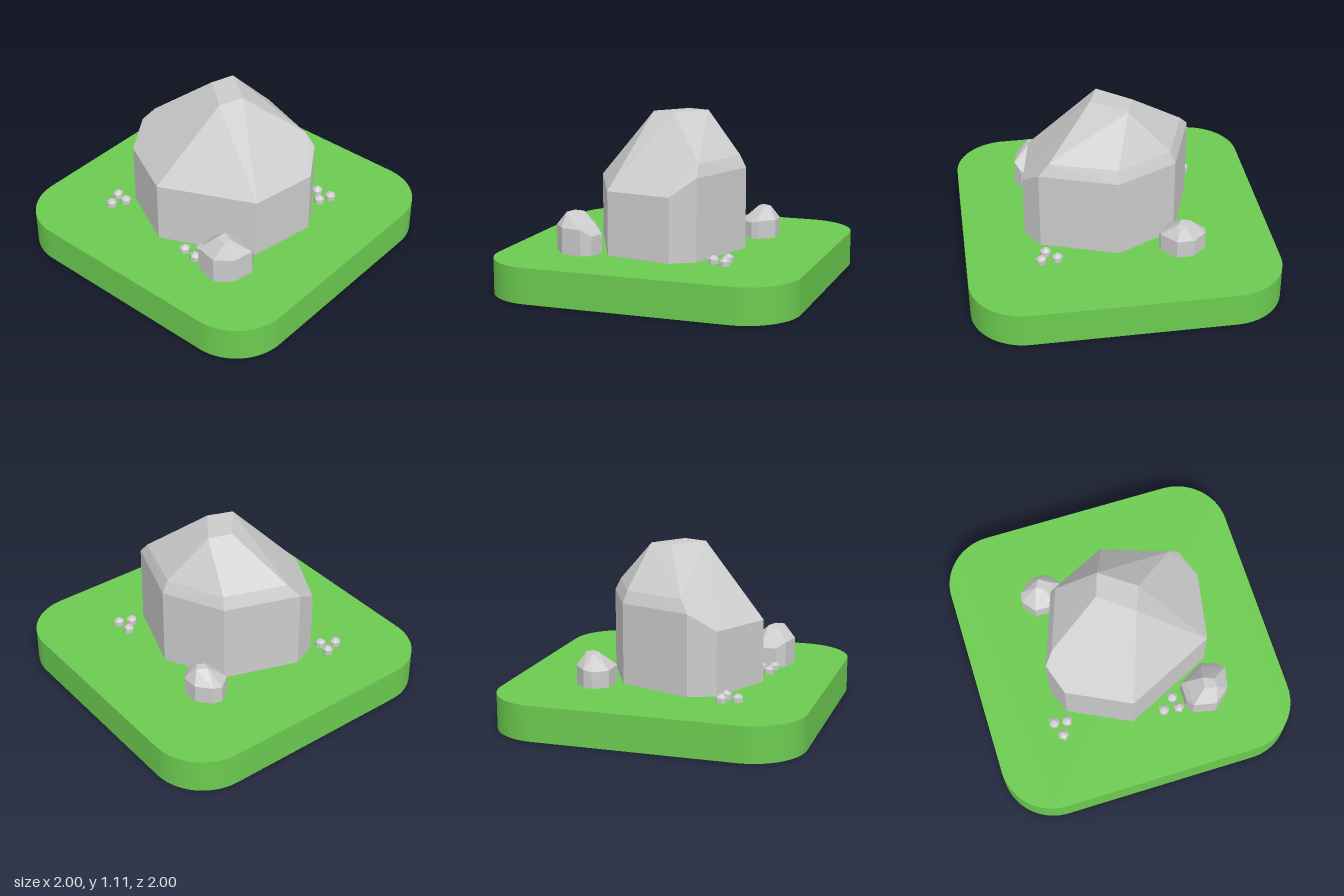
import * as THREE from 'three';
import { ConvexGeometry } from 'three/addons/geometries/ConvexGeometry.js';

const GROUND = 0.23;
const stone = new THREE.MeshStandardMaterial({ color: 0xcccccc, flatShading: true });
const grass = new THREE.MeshStandardMaterial({ color: 0x6ccb50 });

// A faceted boulder: upright walls on an outline of [x, z, wallTop],
// an optional bevel ring of [x, z, y] and a flat crown of [x, z] at height top.
function rockGeometry(outline, bevel, crown, top, bottom = GROUND) {
  const points = [];
  for (const [x, z, y] of outline) {
    points.push(new THREE.Vector3(x, bottom, z), new THREE.Vector3(x, y, z));
  }
  for (const [x, z, y] of bevel) points.push(new THREE.Vector3(x, y, z));
  for (const [x, z] of crown) points.push(new THREE.Vector3(x, top, z));
  return new ConvexGeometry(points);
}

function addMesh(parent, name, geometry, material) {
  const mesh = new THREE.Mesh(geometry, material);
  mesh.name = name;
  parent.add(mesh);
  return mesh;
}

// Square slab with rounded corners
function slabGeometry(half, r, height) {
  const s = new THREE.Shape();
  const c = half - r;
  s.absarc(c, c, r, 0, Math.PI / 2);
  s.absarc(-c, c, r, Math.PI / 2, Math.PI);
  s.absarc(-c, -c, r, Math.PI, Math.PI * 1.5);
  s.absarc(c, -c, r, Math.PI * 1.5, Math.PI * 2);
  s.closePath();
  return new THREE.ExtrudeGeometry(s, { depth: height, bevelEnabled: false, curveSegments: 12 })
    .rotateX(-Math.PI / 2);
}

export function createModel() {
  const model = new THREE.Group();
  model.name = 'rockTile';

  addMesh(model, 'grassBase', slabGeometry(1, 0.35, GROUND), grass);

  // Large central boulder
  addMesh(model, 'largeRock', rockGeometry(
    [[0.02, -0.46, 0.76], [0.51, -0.29, 0.76], [0.6, -0.14, 0.645], [0.52, 0.3, 0.645],
      [-0.07, 0.58, 0.645], [-0.47, 0.38, 0.645], [-0.54, 0.21, 0.76], [-0.37, -0.27, 0.76]],
    [[0.02, -0.42, 0.84], [0.44, -0.28, 0.84], [-0.48, 0.15, 0.84], [-0.34, -0.25, 0.84]],
    [[-0.13, -0.02], [-0.08, -0.17], [0.14, -0.01], [0.08, 0.15]], 1.11), stone);

  // Front boulder
  addMesh(model, 'frontRock', rockGeometry(
    [[0.47, 0.36, 0.355], [0.57, 0.39, 0.355], [0.61, 0.45, 0.4], [0.58, 0.59, 0.4],
      [0.48, 0.67, 0.4], [0.33, 0.64, 0.4], [0.3, 0.58, 0.36], [0.3, 0.46, 0.36]],
    [[0.46, 0.4, 0.4], [0.33, 0.47, 0.4]],
    [[0.43, 0.5], [0.5, 0.53], [0.5, 0.59], [0.42, 0.57]], 0.49), stone);

  // Back boulder
  addMesh(model, 'backRock', rockGeometry(
    [[-0.45, -0.56, 0.35], [-0.34, -0.56, 0.35], [-0.25, -0.46, 0.35], [-0.25, -0.42, 0.34],
      [-0.32, -0.33, 0.34], [-0.48, -0.33, 0.34], [-0.55, -0.42, 0.34], [-0.54, -0.48, 0.35]],
    [[-0.43, -0.54, 0.38], [-0.35, -0.54, 0.38]],
    [[-0.44, -0.45], [-0.4, -0.51], [-0.36, -0.48], [-0.39, -0.43]], 0.435), stone);

  // Pebble clusters, each pebble a turned copy of one little rock
  const pebble = rockGeometry(
    [[-0.015, -0.033, 0.033], [0.018, -0.03, 0.033], [0.034, -0.008, 0.03], [0.03, 0.015, 0.03],
      [0.01, 0.033, 0.03], [-0.02, 0.028, 0.03], [-0.034, 0.01, 0.03], [-0.03, -0.018, 0.033]],
    [], [[-0.012, -0.004], [0.003, -0.014], [0.013, 0.002], [-0.001, 0.012]], 0.05, 0);
  const clusters = {
    backPebbles: [[0.42, -0.47], [0.525, -0.48], [0.49, -0.4]],
    leftPebbles: [[-0.575, 0.44], [-0.49, 0.45], [-0.54, 0.535]],
    frontPebbles: [[0.15, 0.57], [0.23, 0.5], [0.25, 0.58]],
  };
  for (const [name, spots] of Object.entries(clusters)) {
    const cluster = new THREE.Group();
    cluster.name = name;
    spots.forEach(([x, z], i) => {
      const mesh = addMesh(cluster, 'pebble', pebble, stone);
      mesh.position.set(x, GROUND, z);
      mesh.rotation.y = i * 1.3;
    });
    model.add(cluster);
  }
  return model;
}
